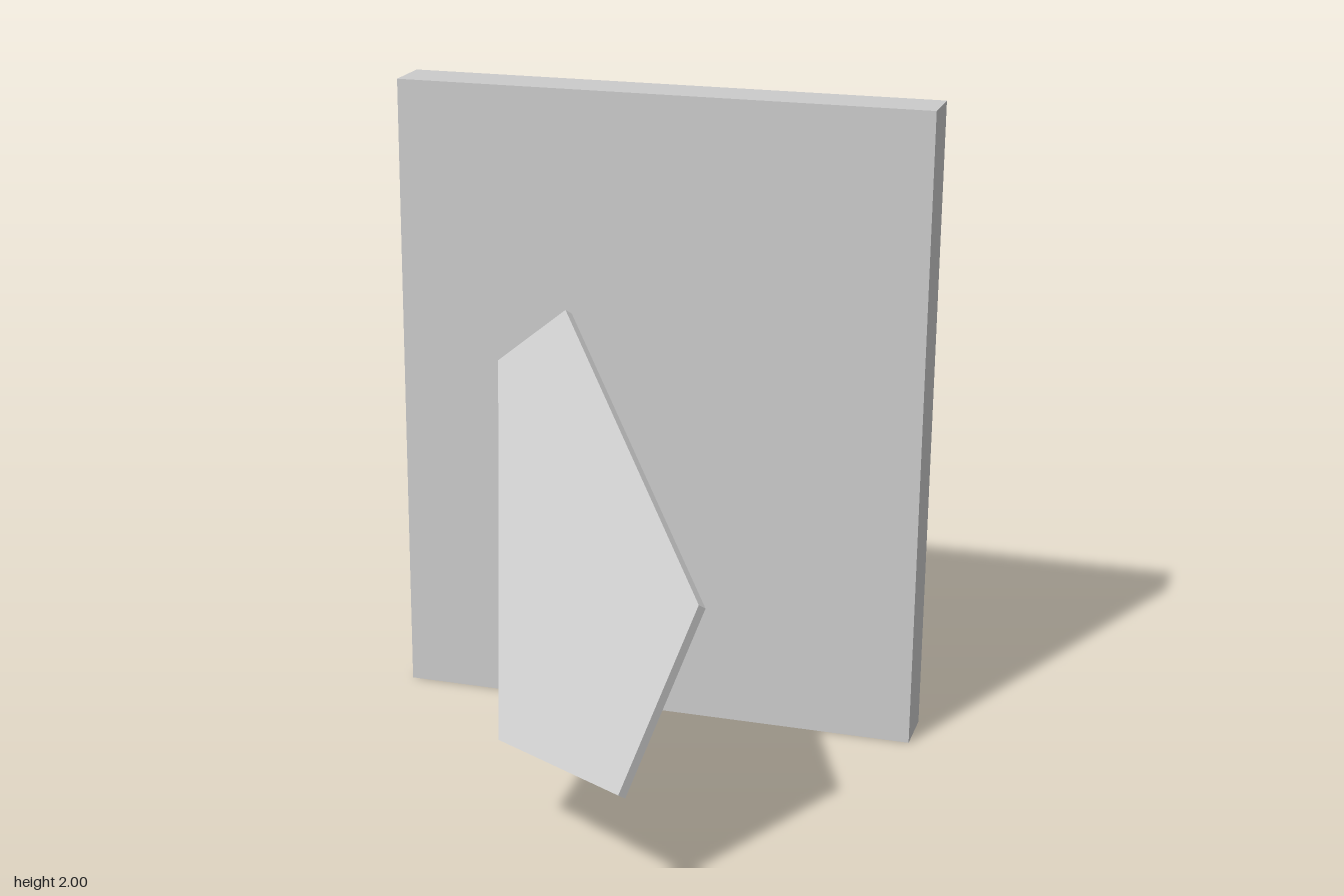
import * as THREE from 'three';

const grey = new THREE.MeshStandardMaterial({ color: 0xcccccc, flatShading: true });

function addPart(parent, name, geometry) {
  const mesh = new THREE.Mesh(geometry, grey);
  mesh.name = name;
  parent.add(mesh);
  return mesh;
}

// Rectangle corners centred on (0, y)
function rectangle(w, h, y) {
  return [[-1, -1], [1, -1], [1, 1], [-1, 1]].map(([sx, sy]) => new THREE.Vector2(sx * w / 2, y + sy * h / 2));
}

export function createModel() {
  const group = new THREE.Group();
  group.name = 'pictureFrame';

  const W = 1.667, H = 2, back = -0.737, front = -0.573, recess = 0.067;

  // Border around the recessed picture opening, facing -z
  const outline = new THREE.Shape(rectangle(W, H, H / 2));
  outline.holes.push(new THREE.Path(rectangle(1.33, 1.583, H / 2)));
  addPart(group, 'frameBorder', new THREE.ExtrudeGeometry(outline, { depth: recess, bevelEnabled: false }))
    .position.z = back;

  // Solid board behind the opening
  const boardDepth = front - back - recess;
  addPart(group, 'backingBoard', new THREE.BoxGeometry(W, H, boardDepth))
    .position.set(0, H / 2, front - boardDepth / 2);

  // Five-sided stand: a thin plate tilted out from the board
  const corners = [
    [-0.505, 1.14, -0.54], [-0.277, 1.327, -0.523], [0.423, 0.817, 0.449],
    [0.28, 0.36, 0.734], [-0.175, 0.317, 0.419],
  ].map((p) => new THREE.Vector3(...p));
  const thickness = 0.028;
  const u = corners[1].clone().sub(corners[0]).normalize();
  const n = corners[2].clone().sub(corners[0]).cross(u).normalize();
  const v = n.clone().cross(u);
  const plate = new THREE.Shape(corners.map((p) => {
    const d = p.clone().sub(corners[0]);
    return new THREE.Vector2(d.dot(u), d.dot(v));
  }));
  const stand = new THREE.ExtrudeGeometry(plate, { depth: thickness, bevelEnabled: false });
  stand.translate(0, 0, -thickness);
  stand.applyMatrix4(new THREE.Matrix4().makeBasis(u, v, n).setPosition(corners[0]));
  addPart(group, 'stand', stand);

  return group;
}
